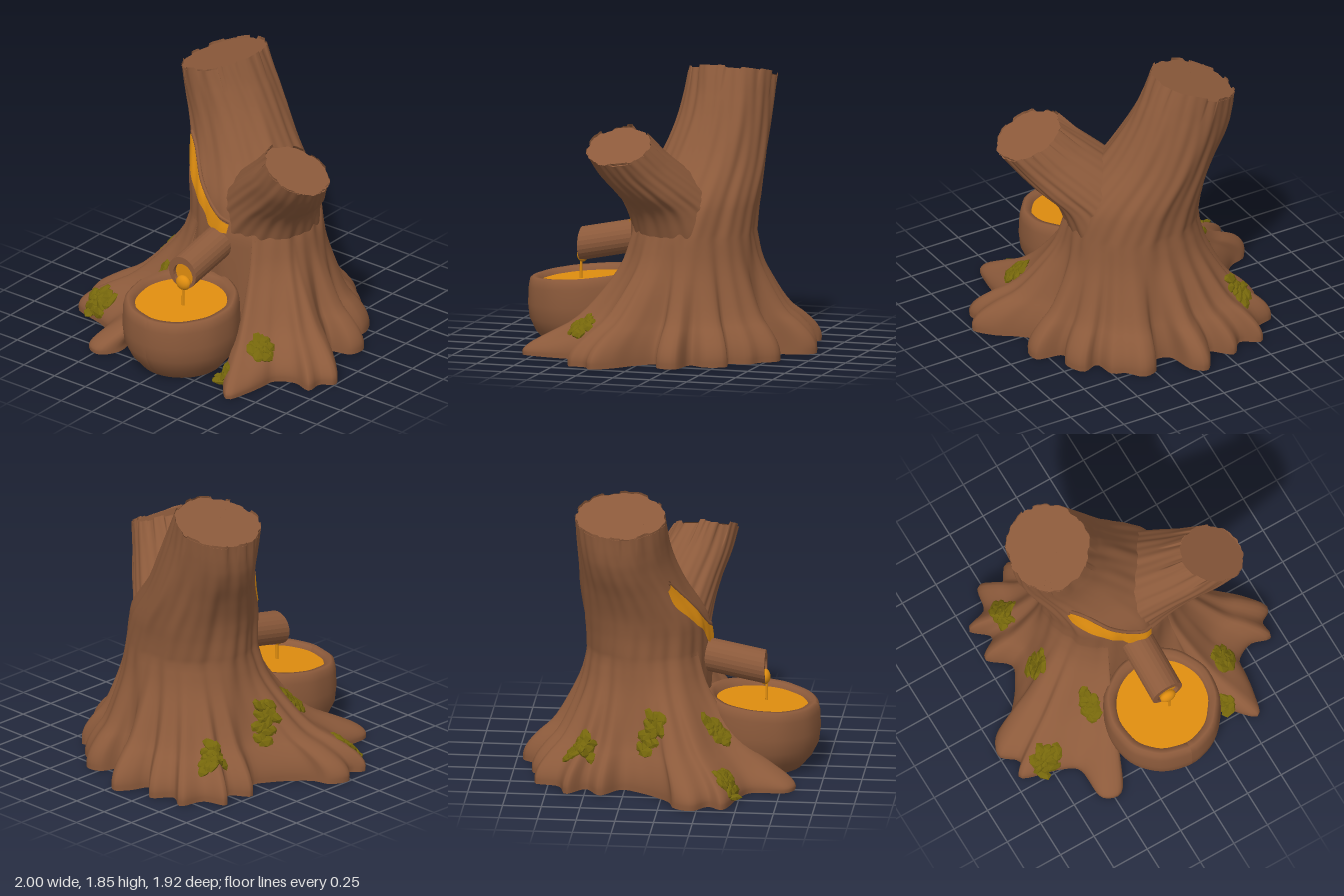
import * as THREE from 'three';
import { mergeGeometries } from 'three/addons/utils/BufferGeometryUtils.js';

const N = 260; // points around each trunk ring
const V = (x, y, z) => new THREE.Vector3(x, y, z);

let seed = 7;
const rand = () => {
  seed = (seed * 16807) % 2147483647;
  return seed / 2147483647;
};

// Ground outline of the roots (x, z), counterclockwise from the front
const footprint = [
  0, .2, .25, .22, .36, .34, .38, .58, .46, .72, .58, .83, .63, .68, .65, .54, .66, .45, .78, .38,
  .92, .41, .92, .3, 1, .24, .92, .12, .78, .01, .68, -.11, .82, -.16, .83, -.28, .65, -.33,
  .7, -.44, .64, -.57, .53, -.54, .5, -.68, .42, -.72, .34, -.82, .24, -.8, .18, -.68, .08, -.7, .03, -.9, -.05, -.96,
  -.12, -.88, -.17, -.77, -.3, -.88, -.4, -.77, -.53, -.84, -.58, -.68, -.73, -.62, -.62, -.5, -.74, -.4,
  -.61, -.27, -.66, -.15, -.73, -.05, -.84, .06, -.95, .1, -1, .22, -.9, .32, -.96, .41, -.7, .5, -.6, .56,
  -.57, .8, -.46, .84, -.38, .72, -.43, .45, -.39, .26, -.2, .2,
];

// Horizontal sections: y, centre x, centre z, radius x, radius z, slope of the cut
const trunkRows = [
  [.78, .05, -.16, .44, .4, 0], [1, .01, -.18, .42, .39, 0], [1.25, -.12, -.24, .345, .335, .08],
  [1.45, -.22, -.28, .31, .3, .18], [1.6, -.28, -.295, .285, .29, .26], [1.76, -.325, -.3, .255, .29, .29],
];
const branchRows = [
  [.5, .05, -.16, .36, .32, 0], [.75, .08, -.15, .39, .35, 0], [.95, .2, -.09, .33, .32, -.04],
  [1.12, .36, 0, .29, .275, -.18], [1.28, .52, .1, .235, .235, -.35], [1.4, .625, .16, .205, .205, -.45],
];

// Lengthwise bark ridges
const bark = (a, y) => 1 + .016 * Math.sin(7 * a + 1.5 * Math.sin(3 * y))
  + .012 * Math.sin(13 * a + 2 * Math.sin(2.3 * y + 1)) + .009 * Math.sin(24 * a + 3 * Math.sin(4 * y))
  + .012 * Math.sin(9 * y + 3 * a);

function sections(rows, angles, steps) {
  const place = new THREE.CatmullRomCurve3(rows.map(r => V(r[1], r[0], r[2])));
  const size = new THREE.CatmullRomCurve3(rows.map(r => V(r[3], r[5], r[4])));
  const chips = angles.map(() => 0);
  for (let i = 0; i < N;) { // jagged rim in blocks
    const h = (rand() - .5) * .03;
    for (let k = 5 + Math.floor(rand() * 12); k > 0 && i < N; k--) chips[i++] = h;
  }
  return Array.from({ length: steps + 1 }, (_, j) => {
    const t = j / steps, c = place.getPoint(t), s = size.getPoint(t);
    const rim = t > .8 ? (t - .8) / .2 : 0;
    return angles.map((a, i) => {
      const k = bark(a, c.y) + rim * chips[i] * 1.5;
      const dx = Math.sin(a) * s.x * k;
      return V(c.x + dx, c.y + dx * s.y + rim * chips[i], c.z + Math.cos(a) * s.z * k);
    });
  });
}

// Grid surface through rows of points
function skin(rows, closed) {
  const n = rows[0].length, index = [];
  for (let j = 0; j < rows.length - 1; j++) {
    for (let i = 0; i < (closed ? n : n - 1); i++) {
      const a = j * n + i, b = j * n + (i + 1) % n;
      index.push(a, b, b + n, a, b + n, a + n);
    }
  }
  const g = new THREE.BufferGeometry().setFromPoints(rows.flat());
  g.setIndex(index);
  g.computeVertexNormals();
  return g;
}

// Flat sawn end just inside the rim of the last section
function endCap(ring, [y, cx, cz, , , slope]) {
  const centre = V(cx, y - .006, cz);
  const edge = ring.map(p => V(p.x, centre.y + slope * (p.x - cx), p.z));
  return skin([edge, edge.map(p => p.clone().lerp(centre, .999))], true);
}

export function createModel() {
  const group = new THREE.Group();
  const material = (name, color, extra = {}) => {
    const m = new THREE.MeshStandardMaterial({ color, ...extra });
    m.name = name;
    return m;
  };
  const wood = material('brown wood', 0x8c5a3b, { side: THREE.DoubleSide });
  const honey = material('amber honey', 0xdf8d0f, { side: THREE.DoubleSide });
  const moss = material('olive moss', 0x75660b, { flatShading: true });
  const add = (name, geometry, mat) => {
    const mesh = new THREE.Mesh(geometry, mat);
    mesh.name = name;
    group.add(mesh);
    return mesh;
  };

  // Root outline and the matching angle of each point around the trunk
  const outlinePoints = [];
  for (let i = 0; i < footprint.length; i += 2) outlinePoints.push(V(footprint[i], 0, footprint[i + 1]));
  const outline = new THREE.CatmullRomCurve3(outlinePoints, true).getSpacedPoints(N).slice(0, N);
  let last = 0;
  const raw = outline.map(p => {
    let a = Math.atan2(p.x, p.z + .1);
    while (a < last - Math.PI) a += 2 * Math.PI;
    return (last = a);
  });
  const angles = raw.map((_, i) => {
    let sum = 0;
    for (let k = -9; k <= 9; k++) {
      const j = i + k;
      sum += raw[(j + N) % N] + (j < 0 ? -2 * Math.PI : j >= N ? 2 * Math.PI : 0);
    }
    return sum / 19;
  });

  // Trunk with flared roots, the front roots lying lower
  const upper = sections(trunkRows, angles, 30);
  const flare = new THREE.CatmullRomCurve3([[1, 0], [1, .05], [.94, .11], [.77, .19], [.53, .28],
    [.28, .45], [.09, .62], [0, .78]].map(([f, y]) => V(f, y, 0)));
  const roots = Array.from({ length: 22 }, (_, j) => {
    const q = flare.getPoint(j / 22);
    return outline.map((p, i) => {
      const w = upper[0][i];
      const sag = 1 - .35 * q.x * THREE.MathUtils.smoothstep(p.z, .4, .8);
      return V(w.x + (p.x - w.x) * q.x, Math.max(q.y, 0) * sag, w.z + (p.z - w.z) * q.x);
    });
  });
  const trunk = add('trunk', skin([...roots, ...upper], true), wood);
  add('trunkTop', endCap(upper.at(-1), trunkRows.at(-1)), wood);
  const base = new THREE.ShapeGeometry(new THREE.Shape(outline.map(p => new THREE.Vector2(p.x, p.z))));
  add('rootUnderside', base.rotateX(Math.PI / 2), wood);

  // Side branch growing out of the trunk
  const even = angles.map((_, i) => i / N * 2 * Math.PI);
  const limb = sections(branchRows, even, 30);
  const branch = add('branch', skin(limb, true), wood);
  add('branchTop', endCap(limb.at(-1), branchRows.at(-1)), wood);

  // Finds the wood surface along a ray
  const surface = (from, dir) => new THREE.Raycaster(from, dir).intersectObjects([trunk, branch])[0];
  const frontZ = (x, y) => surface(V(x, y, 3), V(0, 0, -1))?.point.z ?? 0;

  // Honey running down the bark, with a thin bark lip above it
  const edge = points => new THREE.CatmullRomCurve3(points.map(([x, y]) => V(x, y, 0)));
  const upperEdge = edge([[-.345, 1.31], [-.27, 1.235], [-.2, 1.15], [-.13, 1.06], [0, .94], [.13, .88]]);
  const lowerEdge = edge([[-.365, 1.27], [-.335, 1.16], [-.2, 1.005], [-.08, .9], [-.03, .83], [.12, .82]]);
  const flow = Array.from({ length: 7 }, (_, j) => Array.from({ length: 31 }, (_, i) => {
    const p = lowerEdge.getPoint(i / 30).lerp(upperEdge.getPoint(i / 30), j / 6);
    p.z = frontZ(p.x, p.y) + .012;
    return p;
  }));
  add('honeyFlow', skin(flow, false), honey);
  const lip = new THREE.CatmullRomCurve3(flow[6].filter((_, i) => i % 3 === 0).map(p => V(p.x, p.y + .014, p.z - .01)));
  add('barkLip', new THREE.TubeGeometry(lip, 30, .013, 7), wood);

  // Hollow log spout, sloping down with an upright end
  const slope = new THREE.Matrix4().set(1, 0, 0, .035, 0, 1, -.2, .77, 0, 0, 1, 0, 0, 0, 0, 1);
  const pipe = new THREE.Shape().absarc(0, 0, .11, 0, Math.PI * 2);
  pipe.holes.push(new THREE.Path().absarc(.005, -.015, .078, 0, Math.PI * 2, true));
  const log = new THREE.ExtrudeGeometry(pipe, { depth: .45, bevelEnabled: false, curveSegments: 12 });
  add('spout', log.translate(0, 0, .15).applyMatrix4(slope), wood);
  const core = new THREE.CylinderGeometry(.077, .077, .4, 20).rotateX(Math.PI / 2);
  add('spoutHoney', core.translate(.005, -.015, .375).applyMatrix4(slope), honey);
  const blob = add('honeyBlob', new THREE.SphereGeometry(.05, 18, 12).scale(1.1, 1, .7), honey);
  blob.position.set(.04, .58, .595);
  const drip = add('honeyDrip', new THREE.CylinderGeometry(.008, .01, .16, 8), honey);
  drip.position.set(.045, .48, .605);

  // Wooden bowl, its rim a little higher at the back
  const profile = [[0, 0], [.2, 0], [.265, .01], [.33, .09], [.37, .18], [.38, .28], [.375, .4], [.365, .45],
    [.345, .465], [.31, .46], [.292, .41], [.27, .34]].map(p => new THREE.Vector2(...p));
  const bowlShape = new THREE.LatheGeometry(profile, 56);
  const pos = bowlShape.attributes.position;
  for (let i = 0; i < pos.count; i++) {
    const x = pos.getX(i), y = pos.getY(i), z = pos.getZ(i), a = Math.atan2(x, z);
    const k = 1 + (.008 * Math.sin(5 * a) + .007 * Math.sin(11 * a + 1)) * y / .46;
    pos.setXYZ(i, x * k, y * (1 - .2 * z), z * k);
  }
  bowlShape.computeVertexNormals();
  add('bowl', bowlShape, wood).position.set(.01, 0, .575);
  const pool = add('bowlHoney', new THREE.CircleGeometry(.3, 40).rotateX(-Math.PI / 2 + .08), honey);
  pool.position.set(.01, .425, .585);

  // Moss clumps: x, z, spread x, spread z
  const clumps = [[-.77, .43, .13, .08], [-.38, .32, .05, .1], [.55, .44, .085, .085], [.43, .68, .04, .05],
    [-.54, -.08, .07, .1], [-.52, -.54, .08, .11]];
  clumps.forEach(([cx, cz, sx, sz]) => {
    const leaves = [];
    for (let i = 0; i < 16; i++) {
      const r = Math.sqrt((i + .5) / 16) * .75, t = i * 2.4;
      const x = cx + Math.cos(t) * r * sx, z = cz + Math.sin(t) * r * sz;
      const hit = surface(V(x, 1.1, z), V(0, -1, 0));
      const at = hit ? hit.point : V(x, .03, z);
      const normal = hit ? hit.face.normal : V(0, 1, 0);
      const leaf = new THREE.IcosahedronGeometry(1, 0).scale(.04 + rand() * .025, .022, .03 + rand() * .015);
      leaf.rotateY(rand() * 6).rotateX((rand() - .5) * .7);
      leaf.applyQuaternion(new THREE.Quaternion().setFromUnitVectors(V(0, 1, 0), normal));
      leaf.translate(at.x, Math.max(at.y, .045), at.z);
      leaves.push(leaf);
    }
    add('mossClump', mergeGeometries(leaves), moss);
  });
  return group;
}
